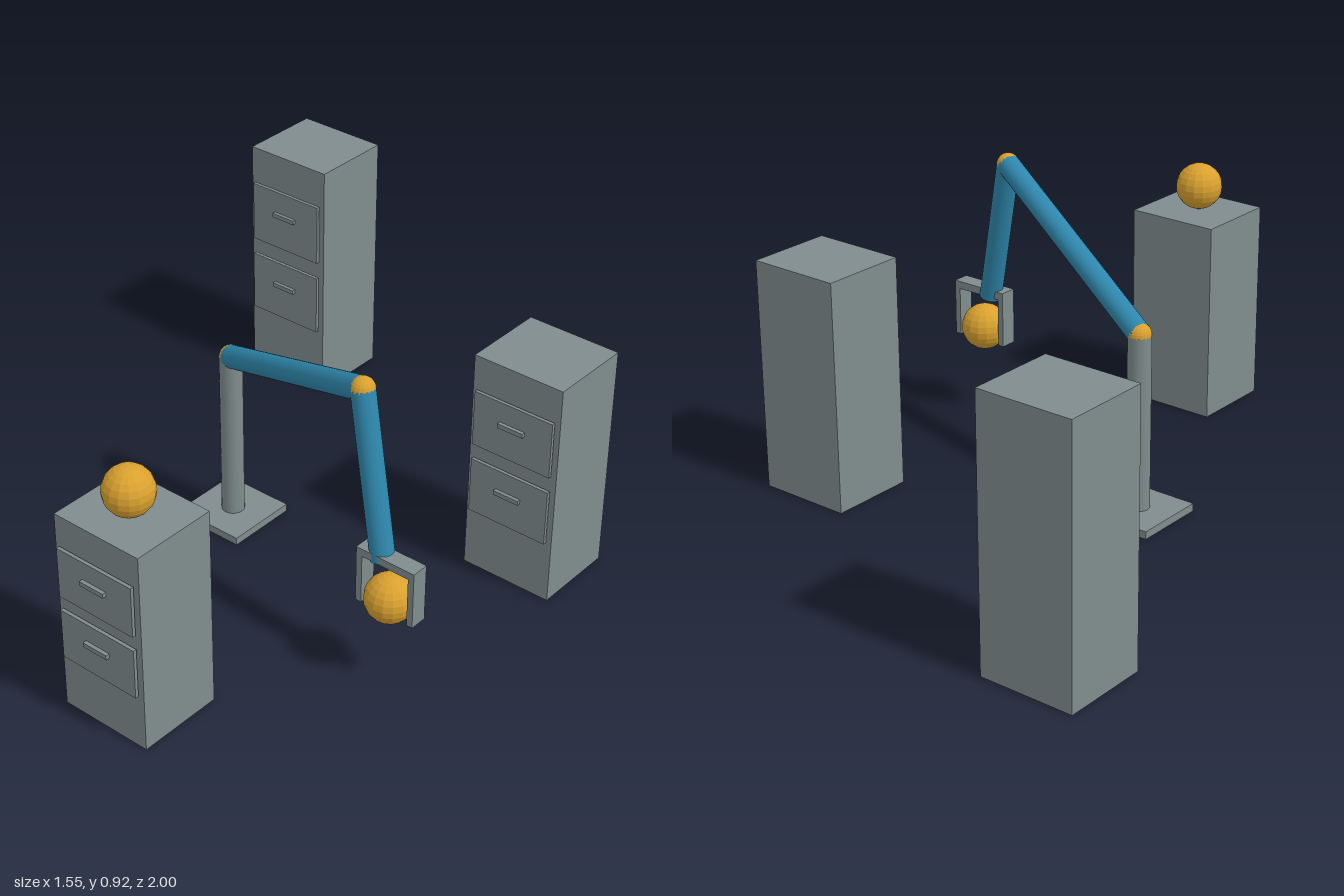
import * as THREE from 'three';

export function createModel() {
  const root = new THREE.Group();
  root.name = 'robotArmScene';

  const material = (name, color, flat = false) => {
    const m = new THREE.MeshStandardMaterial({ color, flatShading: flat });
    m.name = name;
    return m;
  };
  const grey = material('steelGrey', 0x7f8c8d);
  const blue = material('armBlue', 0x2e86ab);
  const gold = material('ballGold', 0xd9a12f, true);

  const add = (parent, name, geometry, mat, x, y, z) => {
    const mesh = new THREE.Mesh(geometry, mat);
    mesh.name = name;
    mesh.position.set(x, y, z);
    parent.add(mesh);
    return mesh;
  };
  const box = (parent, name, w, h, d, x, y, z) =>
    add(parent, name, new THREE.BoxGeometry(w, h, d), grey, x, y, z);
  const ball = (parent, name, r, x, y, z) =>
    add(parent, name, new THREE.SphereGeometry(r, 16, 12), gold, x, y, z);

  // Cylinder running from one point to another
  const limb = (parent, name, a, b, r, mat) => {
    const dir = b.clone().sub(a);
    const mid = a.clone().add(b).multiplyScalar(0.5);
    const mesh = add(parent, name, new THREE.CylinderGeometry(r, r, dir.length(), 24), mat, mid.x, mid.y, mid.z);
    mesh.quaternion.setFromUnitVectors(new THREE.Vector3(0, 1, 0), dir.normalize());
  };

  // Cabinets: body, two drawer fronts and their handles, scaled to the height
  const depth = 0.275;
  const cabinet = (name, x, z, h) => {
    const g = new THREE.Group();
    g.name = name;
    g.position.set(x, 0, z);
    root.add(g);
    box(g, 'cabinetBody', 0.305, h, depth, 0, h / 2, 0);
    for (const level of [0.406, 0.726]) {
      box(g, 'drawerFront', 0.272, h * 0.249, 0.011, 0, h * level, depth / 2 + 0.0095);
      box(g, 'drawerHandle', 0.087, 0.0145, 0.012, 0, h * (level + 0.025), depth / 2 + 0.021);
    }
  };
  cabinet('tallCabinet', -0.623, -0.8625, 0.82);
  cabinet('middleCabinet', 0.618, -0.411, 0.735);
  cabinet('shortCabinet', 0.167, 0.8355, 0.65);
  ball(root, 'cabinetBall', 0.075, 0.167, 0.726, 0.843);

  // Arm: base plate, column, two blue links and gold joints
  const arm = new THREE.Group();
  arm.name = 'robotArm';
  root.add(arm);
  const foot = new THREE.Vector3(-0.229, 0.025, 0);
  const shoulder = new THREE.Vector3(-0.229, 0.578, 0);
  const elbow = new THREE.Vector3(0.478, 0.885, 0.257);
  const wrist = new THREE.Vector3(0.6, 0.404, 0.307);
  box(arm, 'basePlate', 0.236, 0.025, 0.236, foot.x, 0.0125, 0);
  limb(arm, 'column', foot, shoulder, 0.036, grey);
  limb(arm, 'upperArm', shoulder, elbow, 0.036, blue);
  limb(arm, 'forearm', elbow, wrist, 0.036, blue);
  ball(arm, 'shoulderJoint', 0.0365, ...shoulder.toArray());
  ball(arm, 'elbowJoint', 0.0365, ...elbow.toArray());

  // Gripper: cross bar and two fingers around the held ball
  const gripper = new THREE.Group();
  gripper.name = 'gripper';
  gripper.position.set(0.632, 0, 0.312);
  arm.add(gripper);
  box(gripper, 'gripperBar', 0.2, 0.025, 0.055, 0, 0.4205, 0);
  for (const side of [-1, 1]) {
    box(gripper, 'gripperFinger', 0.02, 0.158, 0.055, side * 0.09, 0.329, 0);
  }
  ball(gripper, 'heldBall', 0.075, 0, 0.29, 0);

  return root;
}
